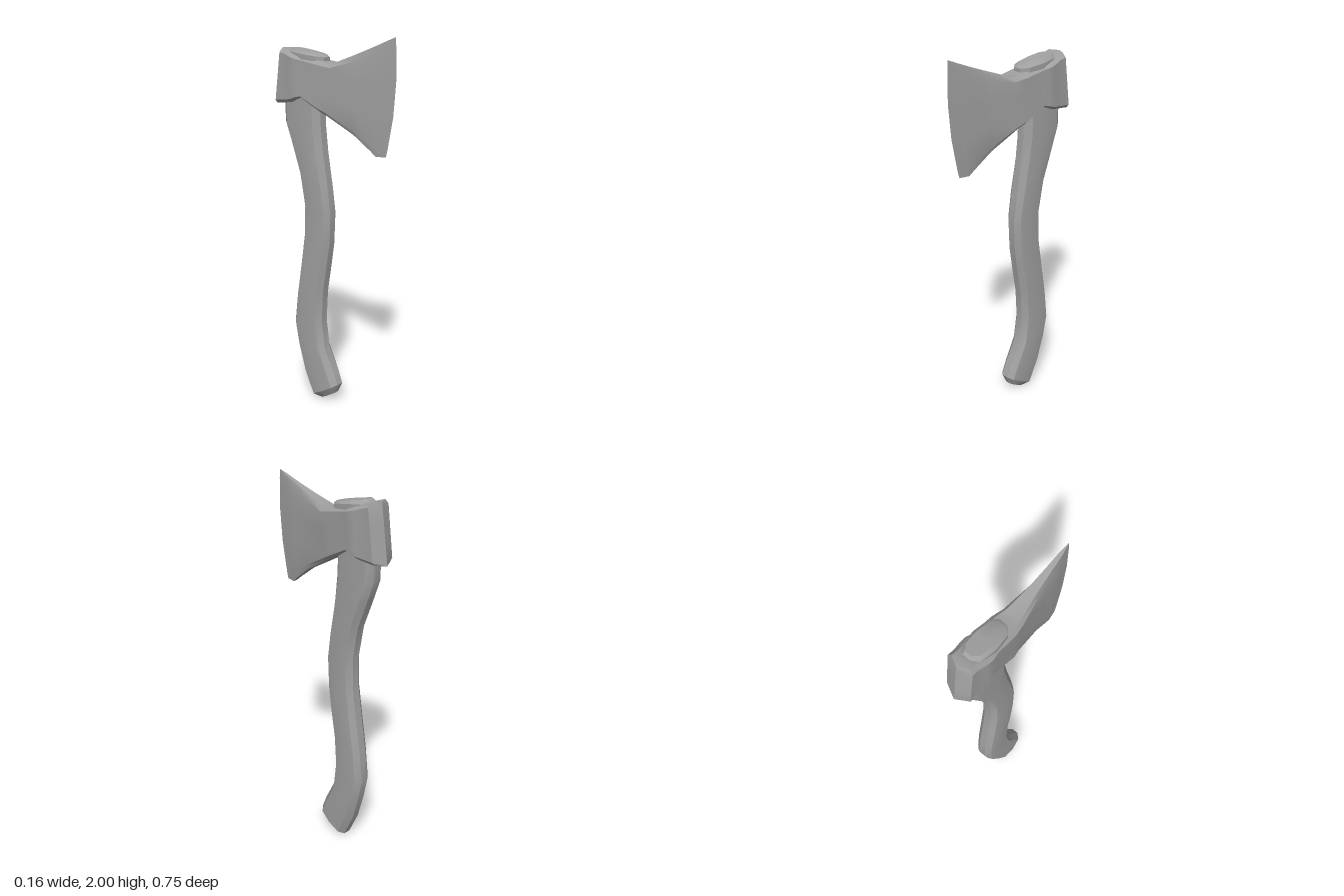
import * as THREE from 'three';
import { toCreasedNormals } from 'three/addons/utils/BufferGeometryUtils.js';

const grey = new THREE.MeshStandardMaterial({ color: 0xa0a0a0 });
grey.name = 'plain grey';

// Skin a list of equal-length rings of [x, y, z] and close both ends.
function loft(name, rings, crease) {
  const n = rings[0].length, last = rings.length - 1;
  const centre = (ring) => [0, 1, 2].map((k) => ring.reduce((sum, p) => sum + p[k], 0) / n);
  const points = [...rings.flat(), centre(rings[0]), centre(rings[last])];
  const index = [];
  for (let i = 0; i < n; i++) {
    const j = (i + 1) % n;
    for (let s = 0; s < last; s++) {
      const a = s * n + i, b = s * n + j;
      index.push(a, b, b + n, a, b + n, a + n);
    }
    index.push(points.length - 2, j, i);
    index.push(points.length - 1, last * n + i, last * n + j);
  }
  const geometry = new THREE.BufferGeometry();
  geometry.setAttribute('position', new THREE.Float32BufferAttribute(points.flat(), 3));
  geometry.setIndex(index);
  const mesh = new THREE.Mesh(toCreasedNormals(geometry, crease), grey);
  mesh.name = name;
  return mesh;
}

// Chamfered oval section between a front point and a back point; w is the half width.
function shaftRing([zf, yf, zb, yb, w]) {
  const half = [[0.36, 0], [0.85, 0.14], [1, 0.5], [0.85, 0.86], [0.36, 1]];
  const point = (side) => ([x, t]) => [side * x * w, yf + (yb - yf) * t, zf + (zb - zf) * t];
  return [...half.map(point(1)), ...half.slice().reverse().map(point(-1))];
}

// Upright bevelled section of the head; the rows may bow forward to curve the cutting edge.
function headRing([zt, yt, zb, yb, w, bow = 0]) {
  const half = [[0.7, 0], [1, 0.08], [1, 0.35], [1, 0.65], [1, 0.94], [0.75, 1]];
  const point = (side) => ([x, t]) =>
    [side * x * w, yt + (yb - yt) * t, zt + (zb - zt) * t + bow * 4 * t * (1 - t)];
  return [...half.map(point(1)), ...half.slice().reverse().map(point(-1))];
}

export function createModel() {
  const axe = new THREE.Group();
  axe.name = 'axe';

  // Curved handle: front z, front y, back z, back y, half width
  const handle = [
    [0.016, 0.065, -0.085, 0.004, 0.03],
    [0.037, 0.12, -0.14, 0.015, 0.058],
    [0.01, 0.19, -0.205, 0.16, 0.06],
    [-0.055, 0.32, -0.245, 0.31, 0.06],
    [-0.075, 0.48, -0.27, 0.435, 0.06],
    [-0.065, 0.65, -0.25, 0.6, 0.06],
    [-0.04, 0.8, -0.22, 0.78, 0.06],
    [-0.02, 0.93, -0.193, 0.96, 0.058],
    [-0.012, 1.1, -0.188, 1.13, 0.058],
    [-0.03, 1.23, -0.22, 1.31, 0.06],
    [-0.062, 1.43, -0.275, 1.45, 0.06],
    [-0.075, 1.55, -0.32, 1.57, 0.06],
    [-0.082, 1.75, -0.32, 1.75, 0.06],
  ];
  axe.add(loft('handle', handle.map(shaftRing), 0.6));

  // End of the handle showing above the eye
  const plug = [
    [-0.05, 1.84, -0.282, 1.84, 0.063],
    [-0.05, 1.9, -0.282, 1.93, 0.063],
    [-0.066, 1.912, -0.262, 1.947, 0.048],
  ];
  axe.add(loft('handleEnd', plug.map(shaftRing), 0.6));

  // Head from cutting edge to poll: top z, top y, bottom z, bottom y, half width, bow
  const head = [
    [0.365, 2, 0.322, 1.433, 0, 0.026],
    [0.315, 1.98, 0.268, 1.433, 0.013, 0.015],
    [0.25, 1.955, 0.235, 1.46, 0.019],
    [0.14, 1.915, 0.14, 1.53, 0.032],
    [0.015, 1.872, -0.02, 1.615, 0.056],
    [-0.05, 1.882, -0.06, 1.635, 0.068],
    [-0.165, 1.9, -0.175, 1.692, 0.069],
    [-0.2, 1.908, -0.205, 1.685, 0.078],
    [-0.24, 1.92, -0.24, 1.672, 0.075],
    [-0.275, 1.935, -0.29, 1.665, 0.068],
    [-0.31, 1.945, -0.35, 1.66, 0.068],
    [-0.335, 1.945, -0.38, 1.655, 0],
  ];
  axe.add(loft('axeHead', head.map(headRing), 0.5));

  return axe;
}
